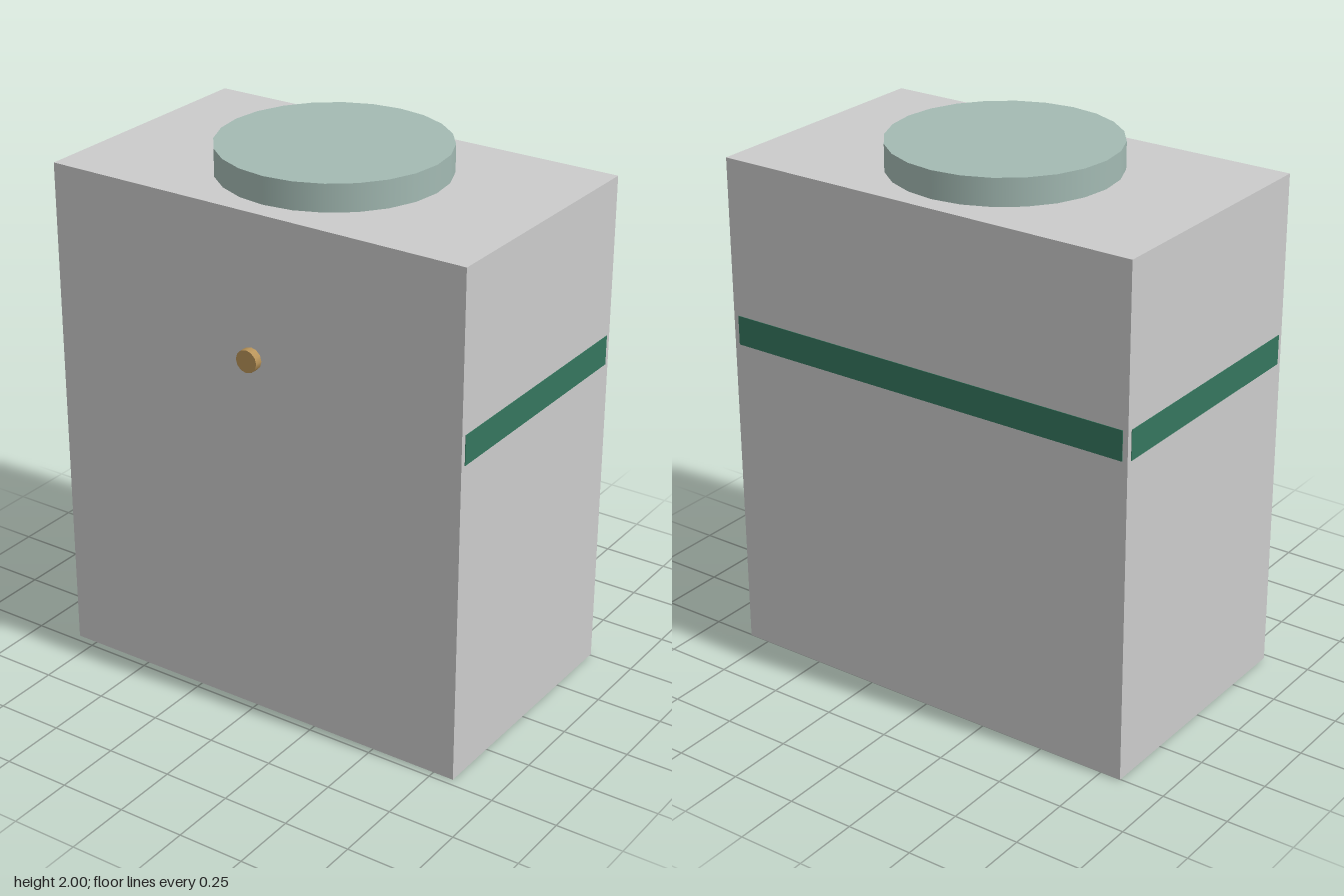
import * as THREE from 'three';

const BODY = { w: 1.66, h: 1.9, d: 0.98, z: -0.015 };

export function createModel() {
  const model = new THREE.Group();

  const add = (name, geometry, color, x, y, z) => {
    const mesh = new THREE.Mesh(geometry, new THREE.MeshStandardMaterial({ color }));
    mesh.name = name;
    mesh.position.set(x, y, z);
    model.add(mesh);
    return mesh;
  };

  // Main block, raised a hair above its base panel
  const lift = 0.002;
  add('body', new THREE.BoxGeometry(BODY.w, BODY.h - lift, BODY.d), 0xcccccc,
    0, (BODY.h + lift) / 2, BODY.z);

  // Brown panel under the block
  add('basePanel', new THREE.BoxGeometry(1.5, 0.02, 0.88), 0x876443, 0, 0.01, BODY.z);

  // Round lid with 24 sides
  add('lid', new THREE.CylinderGeometry(0.413, 0.413, 0.1, 24), 0xa3bab3,
    0, 1.95, -0.017);

  // Green strips on both sides and the back, stopping just short of the corners
  const bandY = 1.26, bandH = 0.11, gap = 0.02, t = 0.02;
  for (const side of [-1, 1]) {
    add(side > 0 ? 'leftBand' : 'rightBand',
      new THREE.BoxGeometry(t, bandH, BODY.d - 2 * gap), 0x35765e,
      side * (BODY.w / 2 - t / 2 + lift), bandY, BODY.z);
  }
  add('backBand', new THREE.BoxGeometry(BODY.w - 2 * gap, bandH, t), 0x35765e,
    0, bandY, BODY.z - BODY.d / 2 + t / 2 - lift);

  // Small brass button on the front
  const button = add('button', new THREE.CylinderGeometry(0.042, 0.042, 0.05, 12), 0xb89358,
    0, 1.375, 0.48);
  button.rotation.x = Math.PI / 2;

  return model;
}
